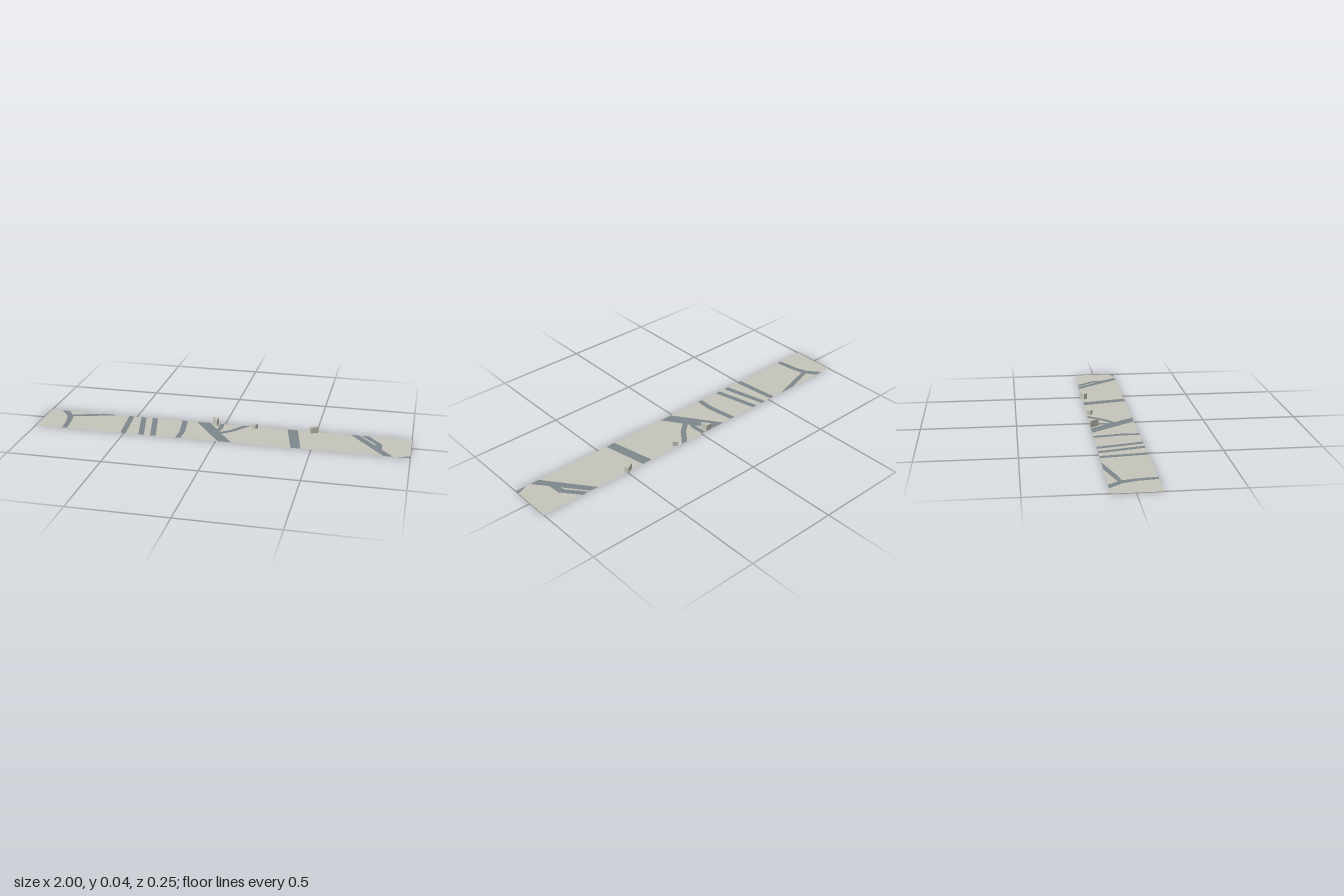
import * as THREE from 'three';

const BACK = -0.113, FRONT = 0.125; // z limits of the ground strip

const landMat = new THREE.MeshStandardMaterial({ color: 0xc4c4ba, side: THREE.DoubleSide });
const roadMat = new THREE.MeshStandardMaterial({ color: 0x7d888c });
const blockMat = new THREE.MeshStandardMaterial({ color: 0xc4c4ba, flatShading: true });

// Flat ribbon through rows of [x, z, half width along x], running from back to front
function ribbon(rows) {
  const pos = [], index = [];
  rows.forEach(([x, z, h], i) => {
    pos.push(x - h, 0.0006, z, x + h, 0.0006, z);
    if (i) {
      const a = 2 * i - 2;
      index.push(a, a + 2, a + 1, a + 1, a + 2, a + 3);
    }
  });
  const g = new THREE.BufferGeometry();
  g.setAttribute('position', new THREE.Float32BufferAttribute(pos, 3));
  g.setIndex(index);
  g.computeVertexNormals();
  return g;
}

export function createModel() {
  const model = new THREE.Group();
  const add = (name, geometry, material) => {
    const mesh = new THREE.Mesh(geometry, material);
    mesh.name = name;
    model.add(mesh);
    return mesh;
  };

  // Ground strip
  const ground = new THREE.PlaneGeometry(2, FRONT - BACK).rotateX(-Math.PI / 2);
  add('ground', ground, landMat).position.z = (FRONT + BACK) / 2;

  // Roads, cut off square at the strip edges
  const roads = {
    westRoad: [[-0.915, BACK, 0.023], [-0.865, -0.045, 0.018], [-0.848, 0.02, 0.015], [-0.835, FRONT, 0.014]],
    westBranch: [[-0.652, BACK, 0.048], [-0.812, -0.064, 0.048], [-0.86, -0.04, 0]],
    laneA: [[-0.53, BACK, 0.015], [-0.505, FRONT, 0.015]],
    laneB: [[-0.46, BACK, 0.015], [-0.405, FRONT, 0.015]],
    laneC: [[-0.395, BACK, 0.015], [-0.34, FRONT, 0.015]],
    laneD: [[-0.225, BACK, 0.015], [-0.202, 0.04, 0.015], [-0.205, FRONT, 0.014]],
    mainDiagonal: [[-0.12, BACK, 0.038], [0.045, FRONT, 0.035]],
    middleBranch: [[-0.016, BACK, 0.013], [-0.013, -0.04, 0.013], [-0.025, 0.01, 0.013]],
    curvedBranch: [[0.118, BACK, 0.018], [0.062, -0.04, 0.018], [0.035, -0.015, 0.022], [-0.008, 0.02, 0.022]],
    wideRoad: [[0.37, BACK, 0.028], [0.42, FRONT, 0.026]],
    eastRoad: [[0.703, BACK, 0.022], [0.89, FRONT, 0.025]],
    eastBranch: [[0.755, BACK, 0.019], [0.832, -0.02, 0.018], [0.843, 0.05, 0.012]],
    cornerRoad: [[1, 0.1, 0], [0.97, FRONT, 0.03]],
  };
  for (const [name, rows] of Object.entries(roads)) add(name, ribbon(rows), roadMat);

  // Three-cornered building
  const plan = new THREE.Shape([[-0.07, 0.115], [-0.037, 0.07], [-0.035, 0.113]].map(p => new THREE.Vector2(...p)));
  const wedge = new THREE.ExtrudeGeometry(plan, { depth: 0.036, bevelEnabled: false }).rotateX(-Math.PI / 2);
  add('wedgeBuilding', wedge, blockMat);

  // Box buildings: x, z, width, height, depth, turn
  [
    ['smallBuilding', 0.167, -0.096, 0.026, 0.024, 0.02, -35],
    ['longBuilding', 0.485, -0.105, 0.044, 0.032, 0.022, 28],
  ].forEach(([name, x, z, w, h, d, turn]) => {
    const box = add(name, new THREE.BoxGeometry(w, h, d), blockMat);
    box.position.set(x, h / 2, z);
    box.rotation.y = THREE.MathUtils.degToRad(turn);
  });

  return model;
}
